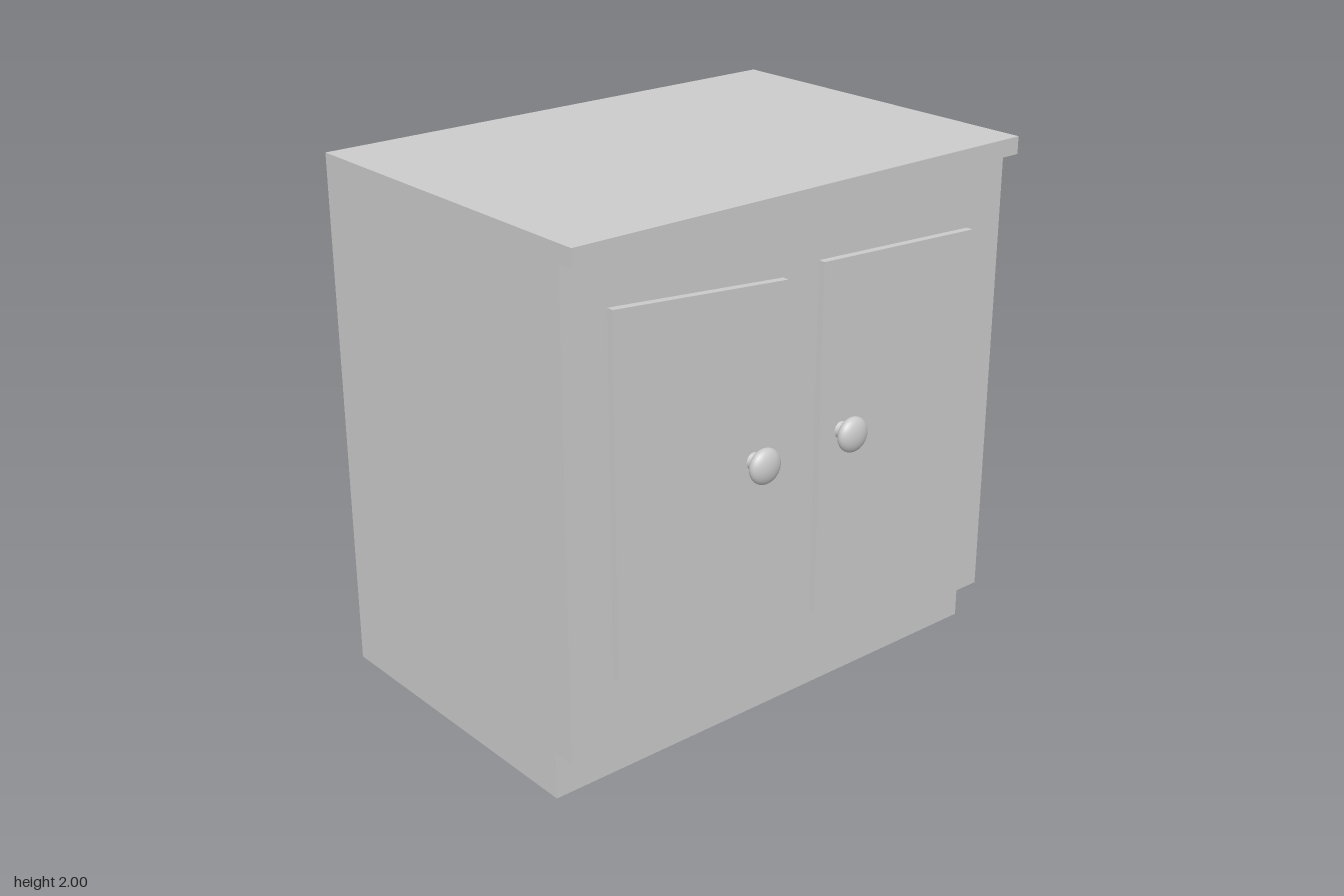
import * as THREE from 'three';

const material = new THREE.MeshStandardMaterial({ color: 0xcccccc });

function addMesh(parent, name, geometry) {
  const mesh = new THREE.Mesh(geometry, material);
  mesh.name = name;
  parent.add(mesh);
  return mesh;
}

function extrude(points, depth) {
  const shape = new THREE.Shape(points.map(([x, y]) => new THREE.Vector2(x, y)));
  return new THREE.ExtrudeGeometry(shape, { depth, bevelEnabled: false });
}

export function createModel() {
  const cabinet = new THREE.Group();
  cabinet.name = 'cabinet';

  // Carcass: side profile (z, y) with toe kick and worktop lip, swept across x
  const profile = [
    [-0.73, 0], [0.52, 0], [0.52, 0.18], [0.61, 0.18],
    [0.61, 1.935], [0.675, 1.935], [0.675, 2], [-0.73, 2],
  ];
  const body = extrude(profile, 2);
  body.translate(0, 0, -1).rotateY(-Math.PI / 2);
  addMesh(cabinet, 'carcass', body);

  // Doors: thin slabs with slanted top and bottom edges
  const frontZ = 0.61, thickness = 0.028;
  const doors = {
    rightDoor: [[-0.82, 0.44], [-0.08, 0.375], [-0.08, 1.69], [-0.82, 1.755]],
    leftDoor: [[0.085, 0.38], [0.825, 0.44], [0.825, 1.68], [0.085, 1.715]],
  };
  for (const [name, corners] of Object.entries(doors)) {
    addMesh(cabinet, name, extrude(corners, thickness)).position.z = frontZ;
  }

  // Knobs: a flared stem and a flattened ball, turned about the z axis
  const stem = [[0.036, 0], [0.03, 0.012], [0.028, 0.026], [0.032, 0.045]]
    .map(([r, h]) => new THREE.Vector2(r, h));
  for (const [name, x] of [['rightKnob', -0.225], ['leftKnob', 0.19]]) {
    const knob = new THREE.Group();
    knob.name = name;
    knob.position.set(x, 1.075, frontZ + thickness - 0.008);
    addMesh(knob, 'knobStem', new THREE.LatheGeometry(stem, 24).rotateX(Math.PI / 2));
    const head = new THREE.SphereGeometry(0.066, 32, 20);
    head.rotateX(Math.PI / 2).scale(1, 1, 0.53).translate(0, 0, 0.065);
    addMesh(knob, 'knobHead', head);
    cabinet.add(knob);
  }

  return cabinet;
}
